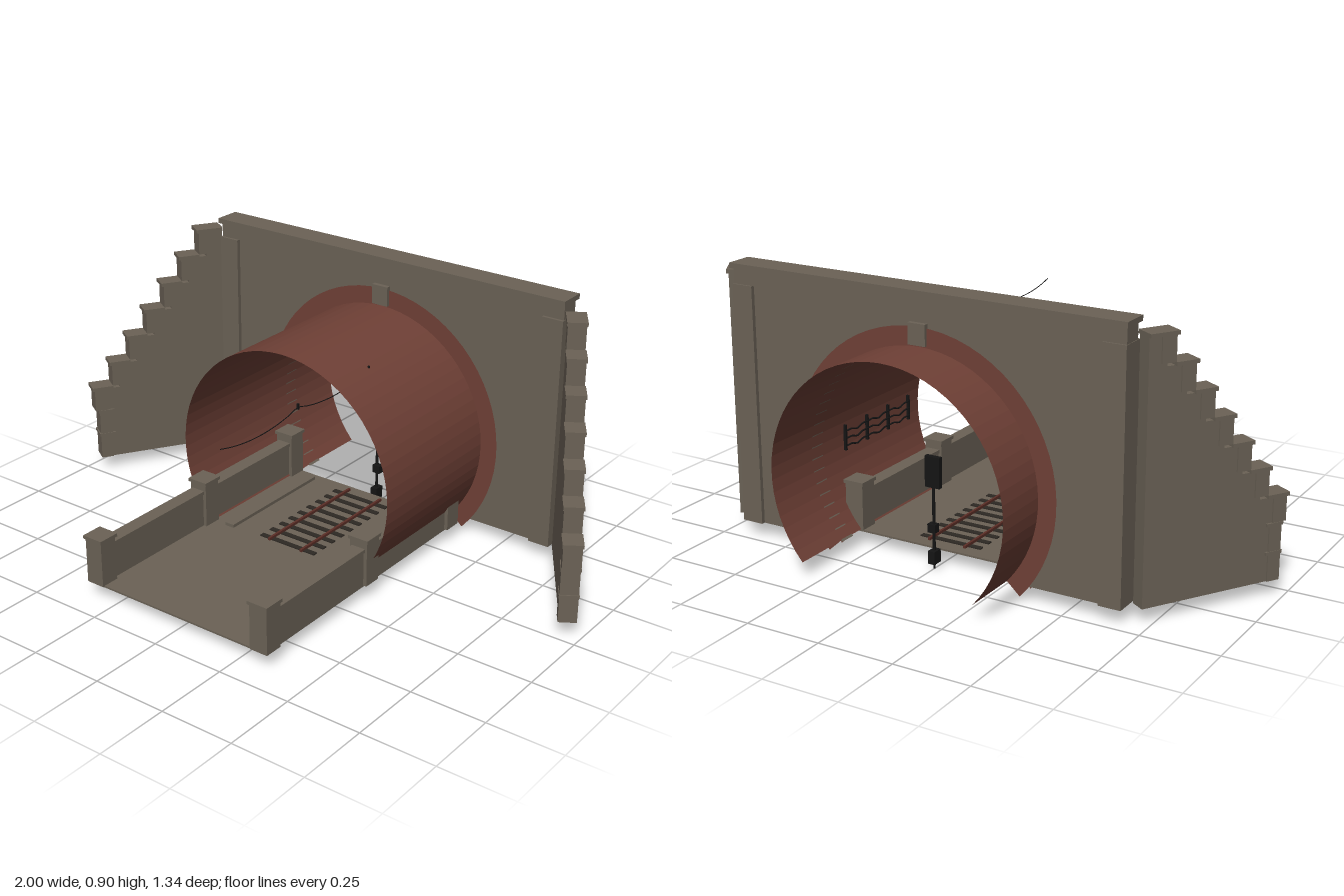
import * as THREE from 'three';

const mat = (name, color, extra = {}) => {
  const m = new THREE.MeshStandardMaterial({ color, ...extra });
  m.name = name;
  return m;
};

export function createModel() {
  const stone = mat('stone', 0x6b6256);
  const brick = mat('brick', 0x6f4036, { side: THREE.DoubleSide, flatShading: true });
  const rust = mat('rustyRail', 0x5c2e26);
  const timber = mat('timber', 0x2e2924);
  const black = mat('blackMetal', 0x151515);

  const model = new THREE.Group();
  const group = (name, parent = model) => {
    const g = new THREE.Group();
    g.name = name;
    parent.add(g);
    return g;
  };
  const add = (parent, name, geo, m) => {
    const mesh = new THREE.Mesh(geo, m);
    mesh.name = name;
    parent.add(mesh);
    return mesh;
  };
  // box given by its limits on each axis
  const box = (parent, name, m, x0, x1, y0, y1, z0, z1) => {
    const mesh = add(parent, name, new THREE.BoxGeometry(x1 - x0, y1 - y0, z1 - z0), m);
    mesh.position.set((x0 + x1) / 2, (y0 + y1) / 2, (z0 + z1) / 2);
    return mesh;
  };
  const tube = (parent, name, m, pts, r, n) => add(parent, name,
    new THREE.TubeGeometry(new THREE.CatmullRomCurve3(pts.map(p => new THREE.Vector3(...p))), n, r, 5), m);

  const ground = 0.05, cy = 0.325, R = 0.405;
  const cut = THREE.MathUtils.degToRad(42), sweep = Math.PI + 2 * cut;

  // portal wall with the round opening notched out of its foot
  const portal = group('portal');
  const shape = new THREE.Shape();
  const a = Math.asin((cy - ground) / R);
  shape.moveTo(-0.675, ground);
  shape.lineTo(-R * Math.cos(a), ground);
  shape.absarc(0, cy, R, Math.PI + a, -a, true);
  shape.lineTo(0.675, ground);
  shape.lineTo(0.675, 0.886);
  shape.lineTo(-0.675, 0.886);
  const wall = new THREE.ExtrudeGeometry(shape, { depth: 0.055, bevelEnabled: false, curveSegments: 48 });
  add(portal, 'portalWall', wall, stone).position.z = -0.467;
  box(portal, 'frieze', stone, -0.678, 0.678, 0.835, 0.886, -0.474, -0.407);
  box(portal, 'coping', stone, -0.685, 0.685, 0.885, 0.902, -0.485, -0.393);
  for (const s of [-1, 1]) {
    const x = s * 0.643;
    box(portal, 'pilaster', stone, x - 0.037, x + 0.037, ground, 0.835, -0.48, -0.398);
  }

  // brick arch rings on both faces, and the keystone
  for (const z of [-0.407, -0.472]) {
    const ring = new THREE.RingGeometry(R, 0.465, 48, 1, -cut, sweep);
    add(portal, 'archRing', ring, brick).position.set(0, cy, z);
  }
  box(portal, 'keystone', stone, -0.03, 0.03, 0.735, 0.802, -0.482, -0.396);

  // tunnel lining
  const lining = new THREE.CylinderGeometry(R, R, 0.8, 48, 1, true, Math.PI / 2 - cut, sweep);
  lining.rotateX(Math.PI / 2);
  add(model, 'tunnelLining', lining, brick).position.set(0, cy, -0.27);

  // stepped wing walls
  for (const s of [-1, 1]) {
    const wing = group(s > 0 ? 'leftWingWall' : 'rightWingWall');
    wing.position.set(s * 0.71, 0, -0.422);
    wing.rotation.y = s * 0.561;
    let start = -0.005;
    for (let i = 0; i < 7; i++) {
      const end = 0.09 + i * 0.0667, top = 0.865 - i * 0.09;
      box(wing, 'wingBody', stone, -0.024, 0.024, ground, top - 0.01, start, end - 0.035);
      box(wing, 'quoin', stone, -0.029, 0.029, top - 0.09, top - 0.01, end - 0.055, end - 0.008);
      box(wing, 'stepCap', stone, -0.032, 0.032, top - 0.012, top, i ? end - 0.075 : -0.005, end);
      start = end - 0.035;
    }
    // lower courses of the wing's end pier
    for (const top of [0.235, 0.145]) {
      box(wing, 'quoin', stone, -0.029, 0.029, top - 0.095, top - 0.008, 0.425, 0.468);
      box(wing, 'quoinCap', stone, -0.031, 0.031, top - 0.01, top, 0.415, 0.472);
    }
  }

  // roadbed and its parapets
  box(model, 'roadbed', stone, -0.345, 0.345, 0.046, 0.052, -0.36, 0.655);
  for (const s of [-1, 1]) {
    const parapet = group(s > 0 ? 'leftParapet' : 'rightParapet');
    const x = s * 0.325;
    box(parapet, 'parapetWall', stone, x - 0.02, x + 0.02, ground, 0.17, -0.33, 0.63);
    box(parapet, 'parapetCoping', stone, x - 0.025, x + 0.025, 0.168, 0.18, -0.33, 0.63);
    for (const z of [0.63, 0.133, -0.33]) {
      box(parapet, 'post', stone, x - 0.032, x + 0.032, ground, 0.203, z - 0.032, z + 0.032);
      box(parapet, 'postCap', stone, x - 0.037, x + 0.037, 0.202, 0.213, z - 0.037, z + 0.037);
    }
  }
  box(model, 'cableTrough', stone, -0.25, -0.215, 0.05, 0.063, -0.33, 0.12);

  // railway track
  const track = group('track');
  for (let i = 0; i < 9; i++) {
    const z = 0.1 - i * 0.05;
    box(track, 'sleeper', timber, -0.11, 0.11, 0.049, 0.056, z - 0.009, z + 0.009);
  }
  for (const s of [-1, 1])
    box(track, 'rail', rust, s * 0.065 - 0.004, s * 0.065 + 0.004, 0.055, 0.064, -0.33, 0.12);

  // signal
  const signal = group('signal');
  const cyl = (name, r, y0, y1) => {
    add(signal, name, new THREE.CylinderGeometry(r, r, y1 - y0, 10), black).position.set(0, (y0 + y1) / 2, -0.4);
  };
  cyl('signalMast', 0.005, 0.012, 0.36);
  cyl('signalSpike', 0.003, 0, 0.02);
  box(signal, 'signalBase', black, -0.012, 0.012, 0.02, 0.062, -0.418, -0.382);
  box(signal, 'signalBox', black, -0.01, 0.018, 0.12, 0.148, -0.41, -0.388);
  box(signal, 'signalHead', black, -0.026, 0.026, 0.268, 0.368, -0.408, -0.392);
  for (const y of [0.34, 0.297]) {
    const hood = new THREE.CylinderGeometry(0.013, 0.013, 0.02, 12).rotateX(Math.PI / 2);
    add(signal, 'signalLamp', hood, black).position.set(0, y, -0.388);
  }

  // sagging overhead wire with its hangers
  const wirePts = [];
  for (let i = 0; i <= 24; i++) {
    const t = (i % 8) / 8;
    wirePts.push([0.2, 0.67 - 0.1 * t * (1 - t), 0.667 - i * 0.045]);
  }
  tube(model, 'overheadWire', black, wirePts, 0.0015, 72);
  for (const z of [0.307, -0.053])
    box(model, 'wireHanger', black, 0.197, 0.203, 0.664, 0.682, z - 0.003, z + 0.003);

  // cables and brackets along the tunnel side
  const cables = group('wallCables');
  for (const y of [0.3, 0.325, 0.35]) {
    const pts = [];
    for (let i = 0; i <= 12; i++) pts.push([0.394, y - (i % 4 === 2 ? 0.008 : 0), 0.06 - i * 0.03]);
    tube(cables, 'cable', black, pts, 0.003, 36);
  }
  for (const z of [0.06, -0.06, -0.18, -0.3])
    box(cables, 'cableBracket', black, 0.393, 0.402, 0.285, 0.37, z - 0.004, z + 0.004);

  return model;
}
